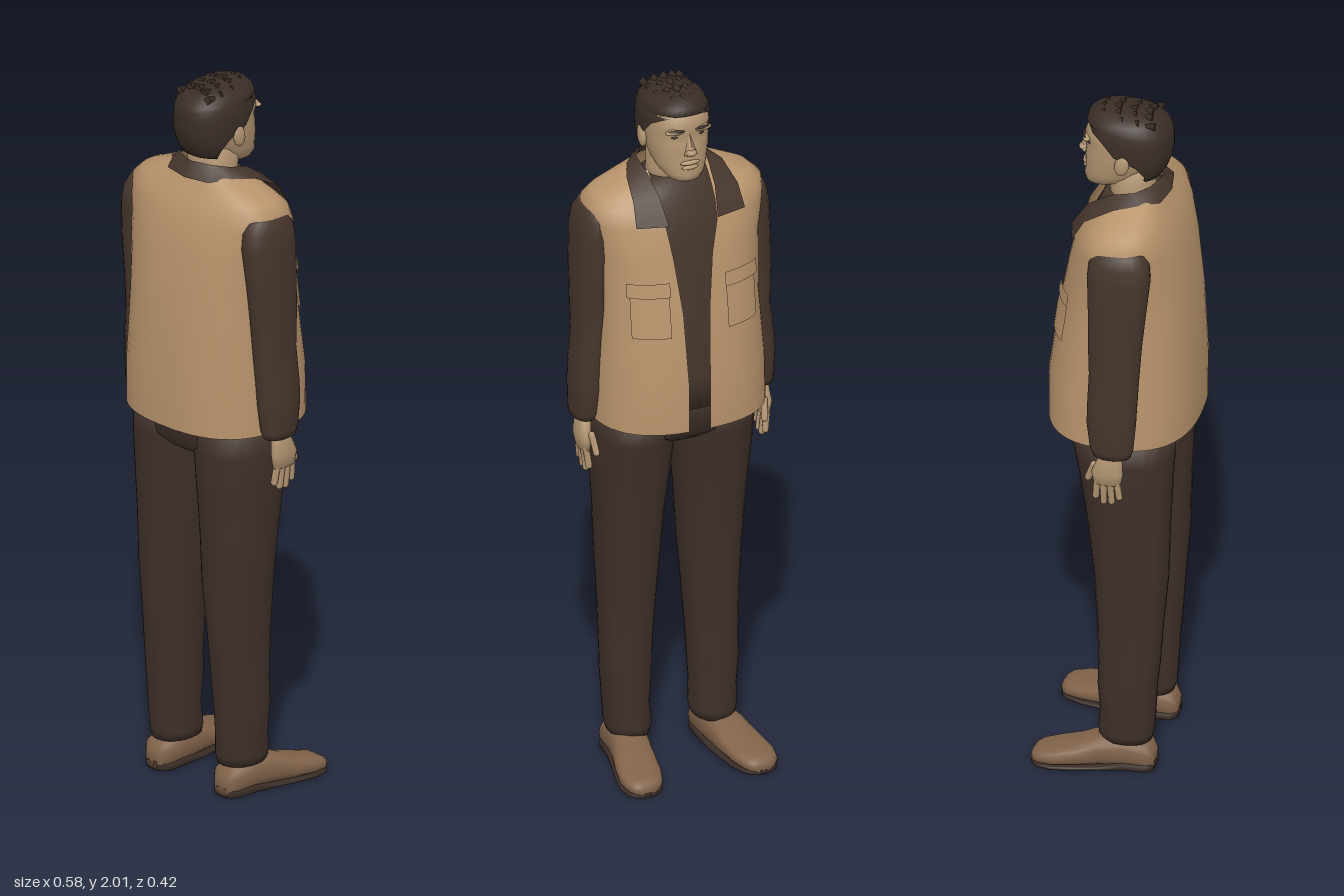
import * as THREE from 'three';
import { mergeVertices } from 'three/addons/utils/BufferGeometryUtils.js';

const mat = (name, color, side = THREE.FrontSide) => {
  const m = new THREE.MeshStandardMaterial({ color, side });
  m.name = name;
  return m;
};

// Lofted surface through oval sections [y, centreX, radiusX, zFront, zBack, angle0, angle1].
// Angle 0 points to the back (+z); a section without angles is a full ring.
function loft(rows, { seg = 28, p = 0.9, cap = true, grow = 0 } = {}) {
  const pos = [], idx = [], w = seg + 1;
  const pw = v => Math.sign(v) * Math.pow(Math.abs(v), p);
  for (const [y, cx, rx, zf, zb, a0 = -Math.PI, a1 = Math.PI] of rows) {
    for (let i = 0; i <= seg; i++) {
      const t = a0 + (a1 - a0) * i / seg;
      const s = Math.abs(Math.sin(t)) < 1e-9 ? 0 : Math.sin(t);
      pos.push(cx + (rx + grow) * pw(s), y, (zf + zb) / 2 + ((zb - zf) / 2 + grow) * pw(Math.cos(t)));
    }
  }
  for (let j = 0; j < rows.length - 1; j++) {
    for (let i = 0; i < seg; i++) {
      const a = j * w + i, b = a + w;
      idx.push(a, a + 1, b + 1, a, b + 1, b);
    }
  }
  if (cap) {
    [0, rows.length - 1].forEach((j, top) => {
      const [y, cx, , zf, zb] = rows[j], c = pos.length / 3;
      pos.push(cx, y, (zf + zb) / 2);
      for (let i = 0; i < seg; i++) {
        const a = j * w + i;
        if (top) idx.push(c, a, a + 1); else idx.push(c, a + 1, a);
      }
    });
  }
  let g = new THREE.BufferGeometry();
  g.setAttribute('position', new THREE.Float32BufferAttribute(pos, 3));
  g.setIndex(idx);
  g = mergeVertices(g, 1e-5);
  g.computeVertexNormals();
  return g;
}

// Ribbon between two lists of points
function ribbon(inner, outer) {
  const pos = [], idx = [];
  inner.forEach((v, i) => {
    pos.push(...v, ...outer[i]);
    if (i) { const a = 2 * i - 2; idx.push(a, a + 1, a + 3, a, a + 3, a + 2); }
  });
  const g = new THREE.BufferGeometry();
  g.setAttribute('position', new THREE.Float32BufferAttribute(pos, 3));
  g.setIndex(idx);
  g.computeVertexNormals();
  return g;
}

export function createModel() {
  const root = new THREE.Group();
  const D = THREE.DoubleSide;
  const vestMat = mat('tan vest', 0xb8946c, D), skin = mat('skin', 0xb39572);
  const shirtMat = mat('dark shirt', 0x45352c, D), trouserMat = mat('dark trousers', 0x3f3029);
  const shoeMat = mat('brown leather', 0x80624a), soleMat = mat('sole', 0x392c26);
  const hairMat = mat('hair', 0x3a2d26, D);
  const add = (name, g, m, parent = root) => {
    const o = new THREE.Mesh(g, m);
    o.name = name;
    parent.add(o);
    return o;
  };
  const ball = (name, m, [x, y, z], [sx, sy, sz], parent) => {
    const o = add(name, new THREE.SphereGeometry(1, 14, 10), m, parent);
    o.position.set(x, y, z);
    o.scale.set(sx, sy, sz);
    return o;
  };

  // Hips and shirt
  add('hips', loft([[0.97, 0, 0.17, -0.07, 0.13], [1.0, 0, 0.215, -0.11, 0.16],
    [1.06, 0, 0.225, -0.125, 0.167], [1.16, 0, 0.215, -0.14, 0.17]]), trouserMat);
  add('shirt', loft([[1.1, 0, 0.205, -0.15, 0.17], [1.2, 0, 0.205, -0.168, 0.18], [1.4, 0, 0.2, -0.14, 0.17],
    [1.58, 0, 0.205, -0.11, 0.15], [1.66, 0, 0.19, -0.09, 0.13], [1.71, 0, 0.13, -0.065, 0.11],
    [1.745, 0, 0.08, -0.052, 0.09]]), shirtMat);

  // Open vest: [y, radiusX, zFront, zBack, front edge x on each side]
  const vp = 0.8;
  const vestRows = [[1.06, 0.24, -0.195, 0.208, -0.02, 0.04], [1.2, 0.237, -0.195, 0.21, -0.02, 0.04],
    [1.4, 0.225, -0.168, 0.2, -0.03, 0.045], [1.55, 0.232, -0.14, 0.183, -0.05, 0.06],
    [1.64, 0.248, -0.12, 0.163, -0.073, 0.073], [1.685, 0.25, -0.093, 0.145, -0.078, 0.078],
    [1.71, 0.222, -0.07, 0.13, -0.08, 0.08], [1.735, 0.165, -0.05, 0.118, -0.08, 0.08],
    [1.765, 0.1, -0.03, 0.1, -0.08, 0.08]];
  const edge = (x, rx) => Math.PI - Math.asin(Math.pow(Math.abs(x) / rx, 1 / vp));
  add('vest', loft(vestRows.map(([y, rx, zf, zb, l, r]) => [y, 0, rx, zf, zb, -edge(l, rx), edge(r, rx)]),
    { seg: 48, p: vp, cap: false }), vestMat);

  // Panels that follow the vest surface
  const vestAt = y => {
    const j = Math.max(1, vestRows.findIndex(r => r[0] >= y)), a = vestRows[j - 1], b = vestRows[j];
    return a.map((v, i) => v + (b[i] - v) * (y - a[0]) / (b[0] - a[0]));
  };
  const panel = (name, ys, x0, x1, s, grow) => add(name, loft(ys.map(y => {
    const [, rx, zf, zb] = vestAt(y), e = [edge(x0, rx), edge(x1, rx)];
    return s > 0 ? [y, 0, rx, zf, zb, e[1], e[0]] : [y, 0, rx, zf, zb, -e[0], -e[1]];
  }), { seg: 8, p: vp, cap: false, grow }), vestMat);

  for (const s of [1, -1]) {
    const side = s > 0 ? 'left' : 'right';
    panel(side + 'ChestPocket', [1.34, 1.4, 1.48], 0.08, 0.175, s, 0.005);
    panel(side + 'PocketFlap', [1.455, 1.495], 0.076, 0.18, s, 0.009);

    // Collar wing from the nape to the chest point
    const m = ([x, y, z]) => [x * s, y, z];
    add(side + 'Collar', ribbon(
      [[0, 1.79, 0.1], [0.06, 1.79, 0.082], [0.09, 1.782, 0.045], [0.088, 1.765, -0.02], [0.08, 1.722, -0.085], [0.07, 1.65, -0.13]].map(m),
      [[0, 1.75, 0.125], [0.075, 1.752, 0.112], [0.113, 1.757, 0.06], [0.137, 1.75, 0], [0.15, 1.71, -0.077], [0.156, 1.652, -0.11]].map(m)), shirtMat);

    // Sleeve with cuff
    add(side + 'Sleeve', loft([[1.055, 0.255, 0.03, -0.026, 0.075], [1.075, 0.252, 0.036, -0.035, 0.082],
      [1.15, 0.247, 0.043, -0.045, 0.088], [1.2, 0.244, 0.044, -0.045, 0.09], [1.3, 0.236, 0.042, -0.042, 0.095],
      [1.4, 0.234, 0.046, -0.045, 0.102], [1.5, 0.231, 0.049, -0.046, 0.112], [1.6, 0.224, 0.051, -0.05, 0.122],
      [1.645, 0.22, 0.048, -0.046, 0.118], [1.675, 0.215, 0.04, -0.03, 0.1], [1.692, 0.208, 0.022, 0, 0.07]]
      .map(([y, x, ...r]) => [y, x * s, ...r]), { seg: 20 }), shirtMat);

    // Hand
    const hand = new THREE.Group();
    hand.name = side + 'Hand';
    root.add(hand);
    add('palm', loft([[0.965, 0.258 * s, 0.014, -0.025, 0.05], [1.0, 0.26 * s, 0.019, -0.03, 0.056],
      [1.03, 0.257 * s, 0.019, -0.018, 0.054], [1.075, 0.254 * s, 0.02, 0, 0.05]], { seg: 16 }), skin, hand);
    const finger = (name, x, y, z, len, tilt) => {
      const o = add(name, new THREE.CapsuleGeometry(0.0095, len, 4, 8), skin, hand);
      o.position.set(x * s, y, z);
      o.rotation.set(tilt, 0, -0.12 * s);
    };
    [0.055, 0.07, 0.068, 0.052].forEach((len, i) =>
      finger('finger', 0.257, 0.975 - len / 2, -0.017 + i * 0.0195, len, 0.08 - i * 0.06));
    finger('thumb', 0.245, 0.99, -0.034, 0.05, 0.35);

    // Trouser leg
    add(side + 'TrouserLeg', loft([[0.085, 0.122, 0.056, -0.04, 0.102], [0.11, 0.122, 0.061, -0.043, 0.108],
      [0.17, 0.125, 0.06, -0.038, 0.112], [0.25, 0.125, 0.066, -0.044, 0.116], [0.32, 0.124, 0.067, -0.042, 0.123],
      [0.45, 0.121, 0.073, -0.046, 0.132], [0.6, 0.118, 0.083, -0.056, 0.145], [0.75, 0.117, 0.092, -0.072, 0.148],
      [0.9, 0.115, 0.105, -0.093, 0.155], [0.99, 0.113, 0.111, -0.11, 0.16], [1.06, 0.112, 0.11, -0.12, 0.16]]
      .map(([y, x, ...r]) => [y, x * s, ...r]), { seg: 24 }), trouserMat);

    // Shoe and sole, lofted from heel to toe: [length, x, radius, top]
    const last = [[-0.113, 0.128, 0.028, 0.055], [-0.095, 0.128, 0.047, 0.085], [-0.03, 0.13, 0.051, 0.1],
      [0.03, 0.138, 0.055, 0.097], [0.09, 0.15, 0.059, 0.072], [0.15, 0.161, 0.06, 0.057],
      [0.19, 0.165, 0.05, 0.047], [0.206, 0.166, 0.036, 0.038], [0.213, 0.166, 0.018, 0.028]];
    add(side + 'Shoe', loft(last.map(([l, x, r, top]) => [l, x * s, r, 0.006, top]), { seg: 24, p: 0.8 }).rotateX(-Math.PI / 2), shoeMat);
    add(side + 'Sole', loft(last.map(([l, x, r]) => [l, x * s, r, 0, l < 0.01 ? 0.026 : 0.014]), { seg: 24, p: 0.5 }).rotateX(-Math.PI / 2), soleMat);
  }

  // Neck and head
  add('neck', loft([[1.7, 0, 0.075, -0.035, 0.09], [1.76, 0, 0.068, -0.042, 0.08], [1.85, 0, 0.068, -0.05, 0.085]]), skin);
  const head = new THREE.Group();
  head.name = 'head';
  root.add(head);
  add('face', loft([[1.756, 0, 0.024, -0.096, -0.05], [1.764, 0, 0.044, -0.107, -0.01], [1.782, 0, 0.061, -0.111, 0.03],
    [1.805, 0, 0.072, -0.107, 0.06], [1.84, 0, 0.08, -0.108, 0.09], [1.875, 0, 0.085, -0.104, 0.108],
    [1.895, 0, 0.086, -0.1, 0.112], [1.915, 0, 0.086, -0.108, 0.112], [1.95, 0, 0.082, -0.098, 0.105],
    [1.975, 0, 0.062, -0.07, 0.08]], { seg: 32 }), skin, head);
  const nose = add('nose', new THREE.ConeGeometry(0.019, 0.06, 4, 1), skin, head);
  nose.position.set(0, 1.872, -0.106);
  nose.rotation.x = 0.14;
  ball('noseTip', skin, [0, 1.85, -0.115], [0.015, 0.01, 0.013], head);
  ball('upperLip', skin, [0, 1.817, -0.106], [0.028, 0.007, 0.009], head);
  ball('lowerLip', skin, [0, 1.803, -0.105], [0.024, 0.007, 0.009], head);
  for (const s of [1, -1]) {
    ball('ear', skin, [0.089 * s, 1.862, 0.01], [0.011, 0.032, 0.02], head).rotation.x = 0.2;
    ball('brow', skin, [0.036 * s, 1.91, -0.094], [0.03, 0.009, 0.013], head);
    ball('eyebrow', hairMat, [0.038 * s, 1.914, -0.101], [0.024, 0.004, 0.007], head).rotation.y = -0.25 * s;
    ball('eye', hairMat, [0.036 * s, 1.891, -0.09], [0.012, 0.004, 0.005], head).rotation.y = -0.25 * s;
  }

  // Hair: open over the face, closing into a full cap above the forehead
  add('hair', loft([[1.805, 0, 0.078, -0.06, 0.098, 0.95], [1.83, 0, 0.088, -0.07, 0.114, 1.1], [1.86, 0, 0.093, -0.085, 0.125, 1.35],
    [1.885, 0, 0.094, -0.095, 0.129, 1.8], [1.92, 0, 0.094, -0.108, 0.129, 2.0], [1.94, 0, 0.092, -0.106, 0.126, 2.35],
    [1.955, 0, 0.087, -0.104, 0.12, Math.PI], [1.972, 0, 0.077, -0.099, 0.105, Math.PI], [1.986, 0, 0.058, -0.085, 0.08, Math.PI],
    [1.993, 0, 0.03, -0.06, 0.045, Math.PI]].map(([y, x, r, f, b, a]) => [y, x, r, f, b, -a, a]), { seg: 32 }), hairMat, head);
  // Short locks combed forward
  for (let i = -2; i <= 2; i++) {
    for (let k = 0; k < 4; k++) {
      const lock = add('lock', new THREE.ConeGeometry(0.013, 0.05, 4), hairMat, head);
      lock.position.set(i * 0.026, 1.987 - 0.0035 * i * i - (k === 3 ? 0.008 : 0), 0.05 - k * 0.042 + 0.004 * i * i);
      lock.rotation.x = -Math.PI / 2 - 0.08 - 0.1 * k;
    }
  }
  return root;
}
